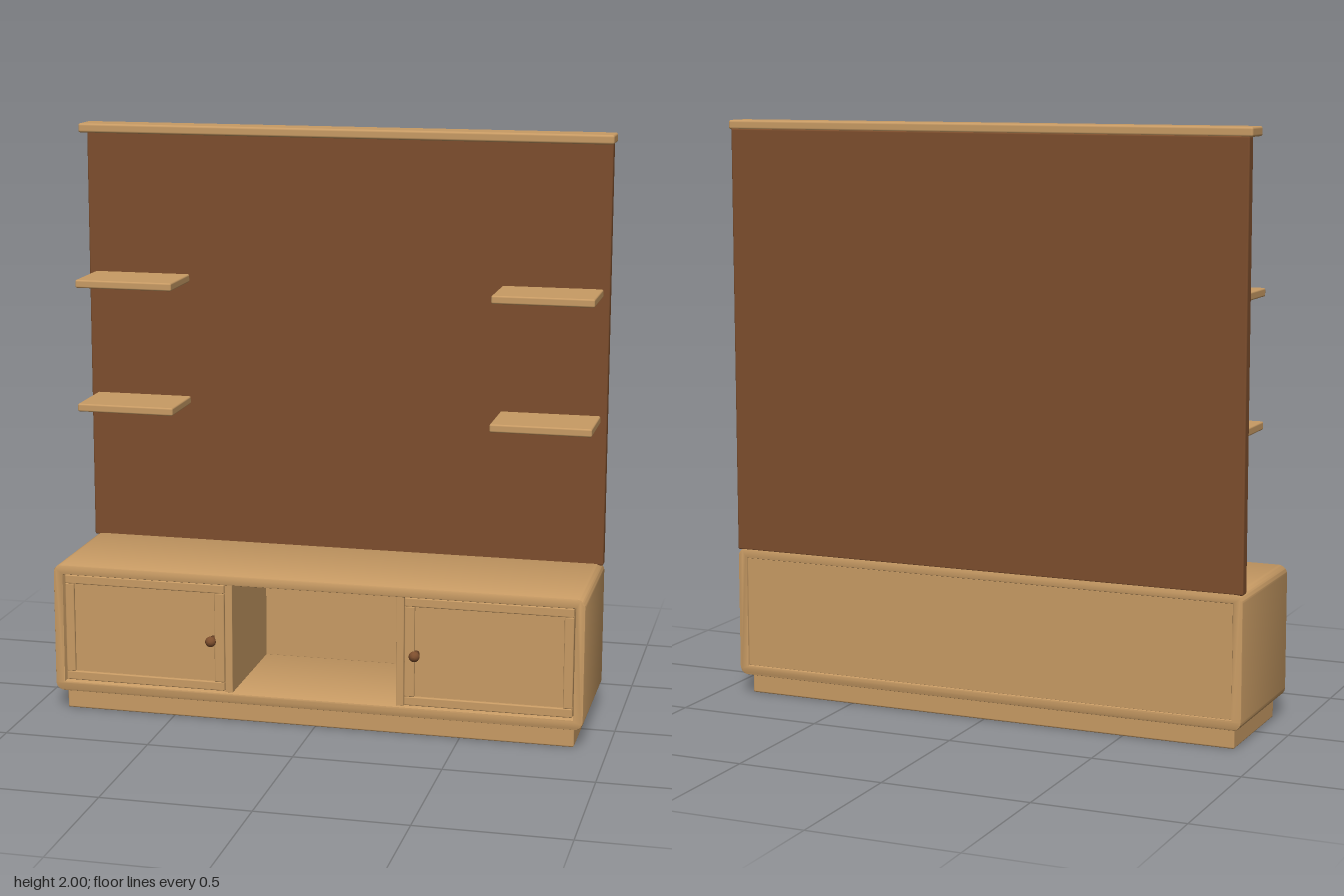
import * as THREE from 'three';
import { RoundedBoxGeometry } from 'three/addons/geometries/RoundedBoxGeometry.js';
import { toCreasedNormals } from 'three/addons/utils/BufferGeometryUtils.js';

const lightWood = new THREE.MeshStandardMaterial({ name: 'lightWood', color: 0xc89b64 });
const darkWood = new THREE.MeshStandardMaterial({ name: 'darkWood', color: 0x7d4e2d });

// Rectangle outline with rounded corners
function roundedRect(path, x0, y0, x1, y1, r) {
  path.moveTo(x0 + r, y0);
  path.lineTo(x1 - r, y0);
  path.absarc(x1 - r, y0 + r, r, -Math.PI / 2, 0);
  path.lineTo(x1, y1 - r);
  path.absarc(x1 - r, y1 - r, r, 0, Math.PI / 2);
  path.lineTo(x0 + r, y1);
  path.absarc(x0 + r, y1 - r, r, Math.PI / 2, Math.PI);
  path.lineTo(x0, y0 + r);
  path.absarc(x0 + r, y0 + r, r, Math.PI, Math.PI * 1.5);
  return path;
}

export function createModel() {
  const group = new THREE.Group();
  group.name = 'mediaCabinet';

  // Softly rounded board given by its limits on each axis
  function board(parent, name, material, [x0, x1], [y0, y1], [z0, z1], r = 0.004) {
    const geometry = new RoundedBoxGeometry(x1 - x0, y1 - y0, z1 - z0, 2, r);
    const mesh = new THREE.Mesh(geometry, material);
    mesh.name = name;
    mesh.position.set((x0 + x1) / 2, (y0 + y1) / 2, (z0 + z1) / 2);
    parent.add(mesh);
    return mesh;
  }

  // Plinth
  board(group, 'plinth', lightWood, [-0.887, 0.887], [0, 0.075], [-0.227, 0.195], 0.006);

  // Cabinet shell: a rounded tube open at front and back
  const outline = roundedRect(new THREE.Shape(), -0.92, 0.07, 0.92, 0.522, 0.03);
  const opening = new THREE.Path();
  opening.moveTo(-0.885, 0.105);
  opening.lineTo(-0.885, 0.487);
  opening.lineTo(0.885, 0.487);
  opening.lineTo(0.885, 0.105);
  opening.closePath();
  outline.holes.push(opening);
  const bevel = 0.006;
  const shellGeometry = toCreasedNormals(new THREE.ExtrudeGeometry(outline, {
    depth: 0.485 - 2 * bevel, bevelThickness: bevel, bevelSize: bevel,
    bevelOffset: -bevel, bevelSegments: 2, curveSegments: 8,
  }), 0.6);
  const shell = new THREE.Mesh(shellGeometry, lightWood);
  shell.name = 'cabinetShell';
  shell.position.z = -0.26 + bevel;
  group.add(shell);

  board(group, 'cabinetBack', lightWood, [-0.886, 0.886], [0.104, 0.488], [-0.254, -0.235], 0.002);

  // Tall back panel and its crown
  board(group, 'backPanel', darkWood, [-0.92, 0.92], [0.516, 1.972], [-0.26, -0.22], 0.006);
  board(group, 'crown', lightWood, [-0.93, 0.93], [1.968, 2], [-0.26, -0.155], 0.008);

  const knobProfile = [
    [0, 0], [0.012, 0], [0.008, 0.008], [0.007, 0.018], [0.013, 0.023],
    [0.018, 0.031], [0.018, 0.038], [0.013, 0.046], [0.006, 0.05], [0, 0.051],
  ].map(([x, y]) => new THREE.Vector2(x, y));
  const knobGeometry = new THREE.LatheGeometry(knobProfile, 24);
  knobGeometry.rotateX(Math.PI / 2);

  // Parts that repeat on each side
  for (const [side, s] of [['left', 1], ['right', -1]]) {
    const span = (a, b) => (s > 0 ? [a, b] : [-b, -a]);

    board(group, side + 'Divider', lightWood, span(0.285, 0.311), [0.104, 0.488], [-0.236, 0.212], 0.002);

    // Framed door with a recessed panel
    const door = new THREE.Group();
    door.name = side + 'Door';
    group.add(door);
    const depth = [0.19, 0.215];
    board(door, 'topRail', lightWood, span(0.313, 0.882), [0.454, 0.485], depth);
    board(door, 'bottomRail', lightWood, span(0.313, 0.882), [0.109, 0.14], depth);
    board(door, 'innerStile', lightWood, span(0.313, 0.348), [0.139, 0.455], depth);
    board(door, 'outerStile', lightWood, span(0.85, 0.882), [0.139, 0.455], depth);
    board(door, 'doorPanel', lightWood, span(0.345, 0.853), [0.136, 0.458], [0.19, 0.205], 0.002);

    const knob = new THREE.Mesh(knobGeometry, darkWood);
    knob.name = 'knob';
    knob.position.set(s * 0.353, 0.291, 0.209);
    door.add(knob);

    // Wall shelves
    for (const [level, y] of [['Lower', 1.014], ['Upper', 1.449]]) {
      board(group, side + level + 'Shelf', lightWood, span(0.553, 0.898), [y, y + 0.028], [-0.224, 0], 0.006);
    }
  }
  return group;
}
